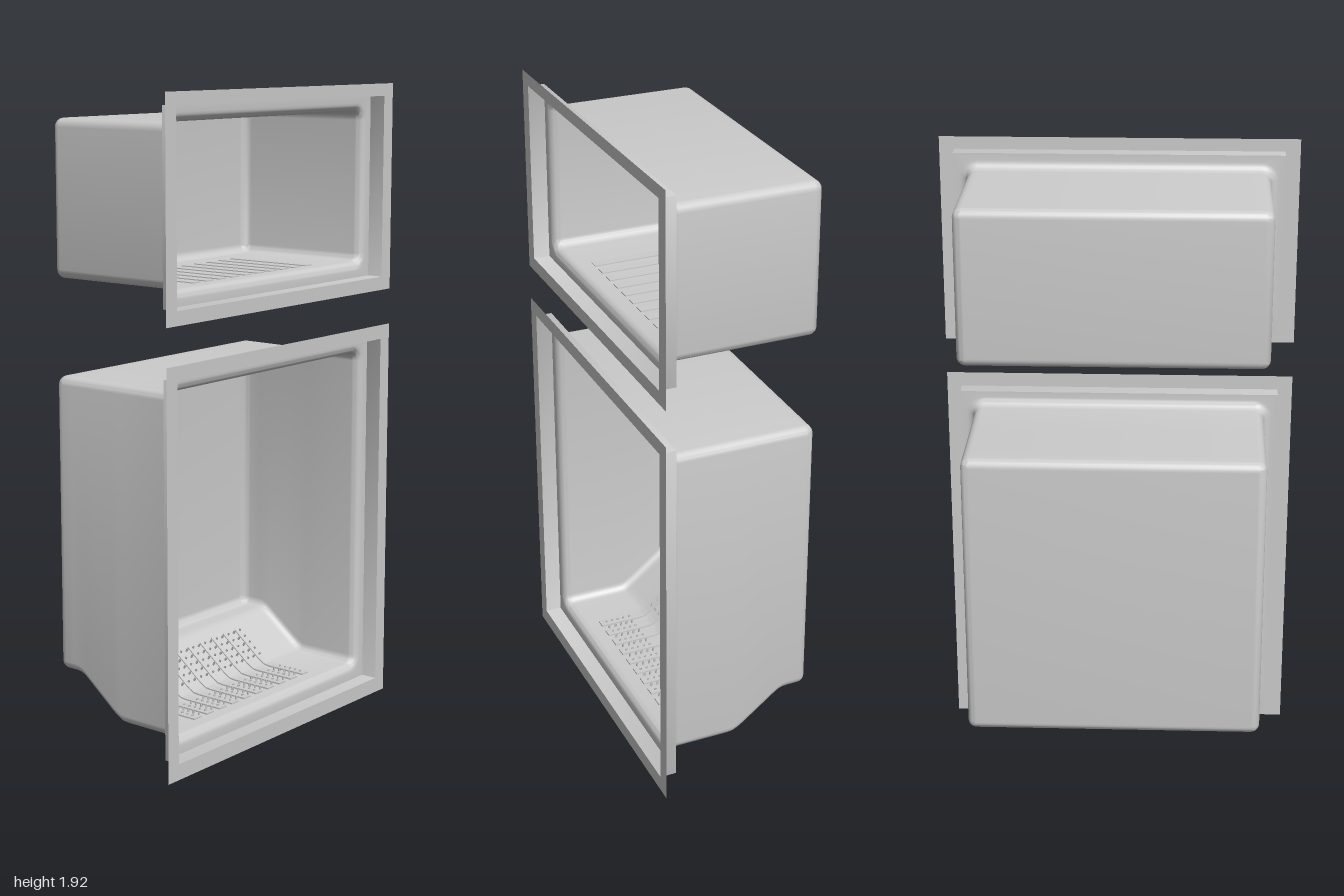
import * as THREE from 'three';
import { mergeGeometries, toCreasedNormals } from 'three/addons/utils/BufferGeometryUtils.js';

const grey = new THREE.MeshStandardMaterial({ color: 0xcccccc, side: THREE.DoubleSide });
const FRONT = 0.25, LIP = 0.2, BACK = -0.25, HALF = 0.441, R = 0.026;

// Rounded rectangle in the xy plane, counter-clockwise, at depth z
function section(z, hw, y0, y1, r) {
  const pts = [], n = 5;
  const corners = [[hw - r, y1 - r], [-hw + r, y1 - r], [-hw + r, y0 + r], [hw - r, y0 + r]];
  corners.forEach(([x, y], k) => {
    for (let i = 0; i <= n; i++) {
      const a = (k + i / n) * Math.PI / 2;
      pts.push([x + r * Math.cos(a), y + r * Math.sin(a), z]);
    }
  });
  return pts;
}

// Skin a list of closed sections
function loft(sections) {
  const n = sections[0].length, index = [];
  for (let i = 0; i < sections.length - 1; i++) {
    for (let j = 0; j < n; j++) {
      const a = i * n + j, b = i * n + (j + 1) % n;
      index.push(a, a + n, b, b, a + n, b + n);
    }
  }
  const g = new THREE.BufferGeometry();
  g.setAttribute('position', new THREE.Float32BufferAttribute(sections.flat(2), 3));
  g.setIndex(index);
  return toCreasedNormals(g, 0.6);
}

// Floor height at depth z, from a [z, y] profile running front to back
function heightAt(floor, z) {
  for (let i = 1; i < floor.length; i++) {
    const [z0, y0] = floor[i - 1], [z1, y1] = floor[i];
    if (z >= z1) return y0 + (y1 - y0) * (z - z0) / (z1 - z0);
  }
  return floor[floor.length - 1][1];
}

function nicheShell(top, floor, flange, lip) {
  const y0 = floor[0][1], s = [];
  // flange and stepped lip
  s.push(section(FRONT, 0.53, flange[0], flange[1], 0.0002));
  s.push(section(FRONT, 0.485, lip[0], lip[1], 0.0002));
  s.push(section(LIP, 0.485, lip[0], lip[1], 0.0002));
  // flared mouth
  for (let i = 0; i <= 6; i++) {
    const a = i / 6 * Math.PI / 2, d = R * (1 - Math.sin(a));
    s.push(section(LIP - R * (1 - Math.cos(a)), HALF + d, y0 - d, top + d, R + d));
  }
  // body following the floor profile
  for (const [z, y] of floor.slice(1, -1)) s.push(section(z, HALF, y, top, R));
  // rounded back edge and back wall
  const yb = floor[floor.length - 1][1];
  for (let i = 0; i <= 6; i++) {
    const a = i / 6 * Math.PI / 2, d = R * (1 - Math.cos(a));
    s.push(section(BACK + R * (1 - Math.sin(a)), HALF - d, yb + d, top - d, Math.max(R - d, 0.0002)));
  }
  s.push(section(BACK, 0.0004, (yb + top) / 2, (yb + top) / 2 + 0.0008, 0.0002));
  return loft(s);
}

// Row of drainage slats that follow the floor
function slats(floor, zFront, zBack, above, below) {
  const path = [[zFront, heightAt(floor, zFront)],
    ...floor.filter(([z]) => z < zFront && z > zBack), [zBack, heightAt(floor, zBack)]];
  const outline = [...path.map(([z, y]) => new THREE.Vector2(z, y + above)),
    ...path.map(([z, y]) => new THREE.Vector2(z, y - below)).reverse()];
  const width = 0.032, parts = [];
  for (let i = 0; i < 10; i++) {
    const g = new THREE.ExtrudeGeometry(new THREE.Shape(outline), { depth: width, bevelEnabled: false });
    g.rotateY(-Math.PI / 2);
    g.translate((i - 4.5) * 0.0585 + width / 2 - 0.005, 0, 0);
    parts.push(g);
  }
  return mergeGeometries(parts);
}

// Grid of small drain holes on the flat and sloping floor
function drainHoles(floor) {
  const parts = [];
  const rows = [0.12, 0.1, 0.08, 0.06, 0.04, -0.045, -0.065, -0.085, -0.105, -0.125];
  for (const z of rows) {
    for (let c = -9; c <= 9; c++) {
      const g = new THREE.CylinderGeometry(0.0035, 0.0035, 0.01, 6, 1, true);
      g.translate(0, 0.0035, 0);
      if (z < 0) g.rotateX(0.62);
      g.translate(c * 0.02925 - 0.005, heightAt(floor, z), z);
      parts.push(g);
    }
  }
  return mergeGeometries(parts);
}

function add(group, name, geometry) {
  const mesh = new THREE.Mesh(geometry, grey);
  mesh.name = name;
  group.add(mesh);
}

export function createModel() {
  const model = new THREE.Group();
  model.name = 'recessedWallNiches';

  // Upper niche with a flat floor
  const upper = new THREE.Group();
  upper.name = 'upperNiche';
  const flat = [[LIP, 1.461], [BACK, 1.461]];
  add(upper, 'upperShell', nicheShell(1.916, flat, [1.374, 2], [1.415, 1.963]));
  add(upper, 'upperSlats', slats(flat, 0.14, -0.15, 0.003, 0.005));

  // Lower niche with a floor that slopes up to the back
  const lower = new THREE.Group();
  lower.name = 'lowerNiche';
  const sloped = [[LIP, 0.176], [0.01, 0.176], [-0.008, 0.178], [-0.024, 0.186], [-0.04, 0.197],
    [-0.14, 0.275], [-0.157, 0.287], [-0.172, 0.293], [-0.19, 0.295], [BACK, 0.295]];
  add(lower, 'lowerShell', nicheShell(1.178, sloped, [0.08, 1.265], [0.127, 1.222]));
  add(lower, 'lowerSlats', slats(sloped, 0.14, -0.132, 0.005, -0.0005));
  add(lower, 'drainHoles', drainHoles(sloped));

  model.add(upper, lower);
  return model;
}
